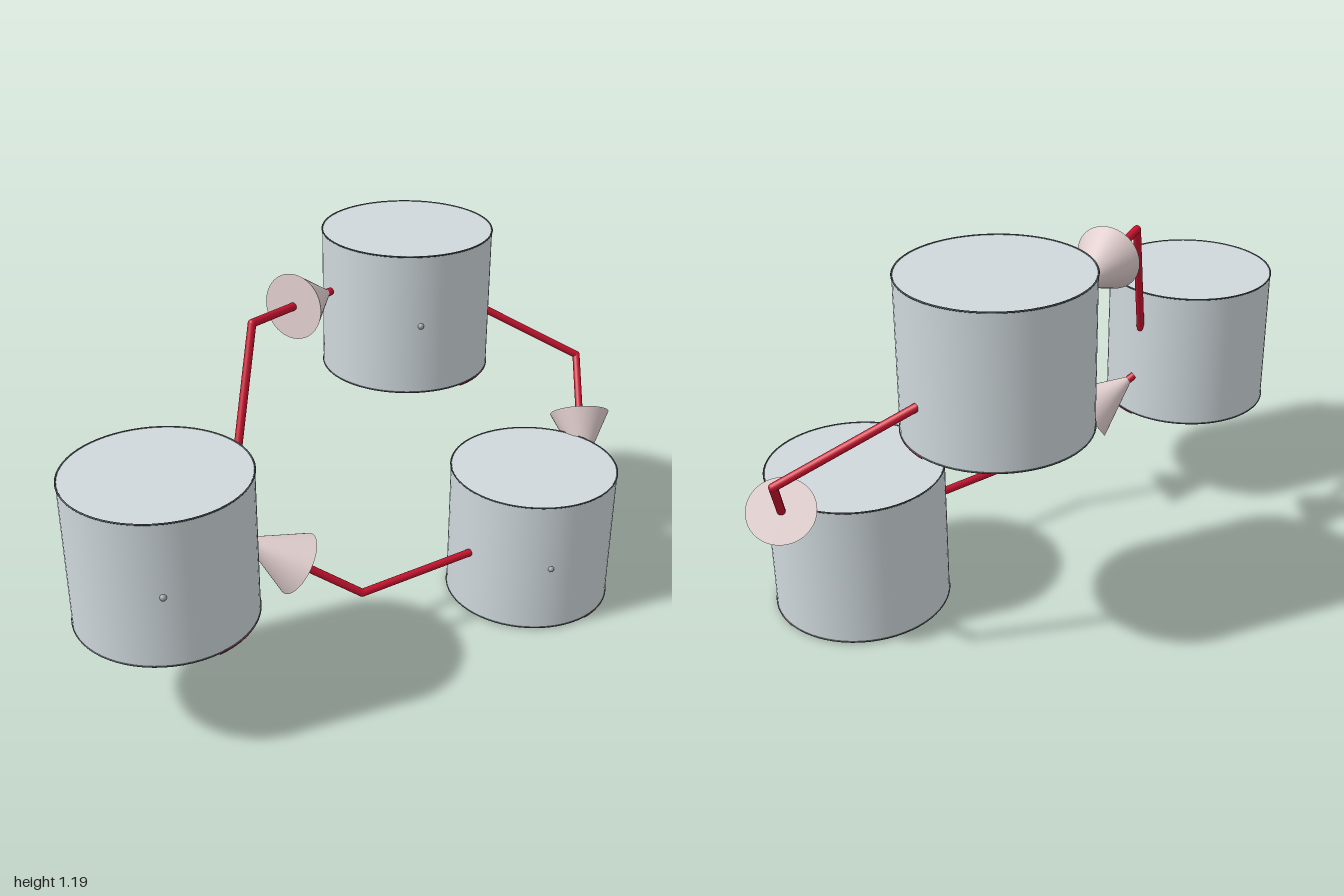
import * as THREE from 'three';

const R = 0.272, H = 0.455, WALL = 0.013;
const shell = new THREE.MeshStandardMaterial({ color: 0xcfd8dc, side: THREE.DoubleSide });
const dark = new THREE.MeshStandardMaterial({ color: 0x4a5254 });
const red = new THREE.MeshStandardMaterial({ color: 0xc8142f });
const pink = new THREE.MeshStandardMaterial({ color: 0xdfcccc });

function add(parent, name, geometry, material, x = 0, y = 0, z = 0) {
  const mesh = new THREE.Mesh(geometry, material);
  mesh.name = name;
  mesh.position.set(x, y, z);
  parent.add(mesh);
  return mesh;
}

// Upturned cup: closed on top, open below, with thin dark rims
function makeCup(x, y, z) {
  const cup = new THREE.Group();
  cup.name = 'cup';
  cup.position.set(x, y, z);
  add(cup, 'outerWall', new THREE.CylinderGeometry(R, R, H, 64, 1, true), shell, 0, H / 2);
  add(cup, 'innerWall', new THREE.CylinderGeometry(R - WALL, R - WALL, H - 0.01, 64, 1, true), shell, 0, H / 2);
  add(cup, 'lid', new THREE.CircleGeometry(R, 64).rotateX(-Math.PI / 2), shell, 0, H);

  // Flat ring closing the wall at the open end, and edge beads
  add(cup, 'bottomRim', new THREE.RingGeometry(R - WALL, R, 64).rotateX(Math.PI / 2), dark);
  for (const h of [0, H]) {
    add(cup, 'edgeBead', new THREE.TorusGeometry(R, 0.0025, 6, 64).rotateX(Math.PI / 2), dark, 0, h);
  }

  // Red quarter trim under the front left edge
  add(cup, 'redTrim', new THREE.TorusGeometry(R - 0.002, 0.004, 6, 20, Math.PI / 2).rotateX(Math.PI / 2), red, 0, -0.003);

  // Small stud on the front
  add(cup, 'stud', new THREE.SphereGeometry(0.01, 16, 12), dark.clone(), -0.14, H / 2, 0.233).material.color.set(0x9aa5a8);
  return cup;
}

// Cylinder or cone running from one point to another
function span(parent, name, from, to, r0, r1, material, sides) {
  const dir = to.clone().sub(from);
  const mesh = add(parent, name, new THREE.CylinderGeometry(r1, r0, dir.length(), sides), material);
  mesh.position.copy(from).add(to).multiplyScalar(0.5);
  mesh.quaternion.setFromUnitVectors(new THREE.Vector3(0, 1, 0), dir.normalize());
}

// Bent arrow: two rods with round joints and a cone head
function makeArrow(points) {
  const arrow = new THREE.Group();
  arrow.name = 'arrow';
  const [start, bend, tip] = points.map((p) => new THREE.Vector3(...p));
  const rod = 0.0125;
  span(arrow, 'rod', start, bend, rod, rod, red, 20);
  span(arrow, 'rod', bend, tip, rod, rod, red, 20);
  for (const p of [start, bend]) {
    add(arrow, 'joint', new THREE.SphereGeometry(rod, 20, 14), red, p.x, p.y, p.z);
  }
  const base = tip.clone().addScaledVector(bend.clone().sub(tip).normalize(), 0.205);
  span(arrow, 'arrowHead', base, tip, 0.1, 0, pink, 48);
  return arrow;
}

export function createModel() {
  const model = new THREE.Group();
  model.name = 'cycleOfCups';

  const cups = [[-0.727, 0.35, 0.02], [0.403, 0.735, -0.24], [0.56, 0.01, 0.235]];
  for (const c of cups) model.add(makeCup(...c));

  // Arrows lead from each cup to the next
  const arrows = [
    [[-0.46, 0.675, 0.0], [-0.3, 1.09, -0.11], [0.09, 1.05, -0.24]],
    [[0.67, 0.877, -0.22], [0.985, 0.665, 0.01], [0.82, 0.35, 0.225]],
    [[0.285, 0.235, 0.23], [-0.13, 0.235, 0.187], [-0.46, 0.49, 0.022]],
  ];
  for (const a of arrows) model.add(makeArrow(a));
  return model;
}
